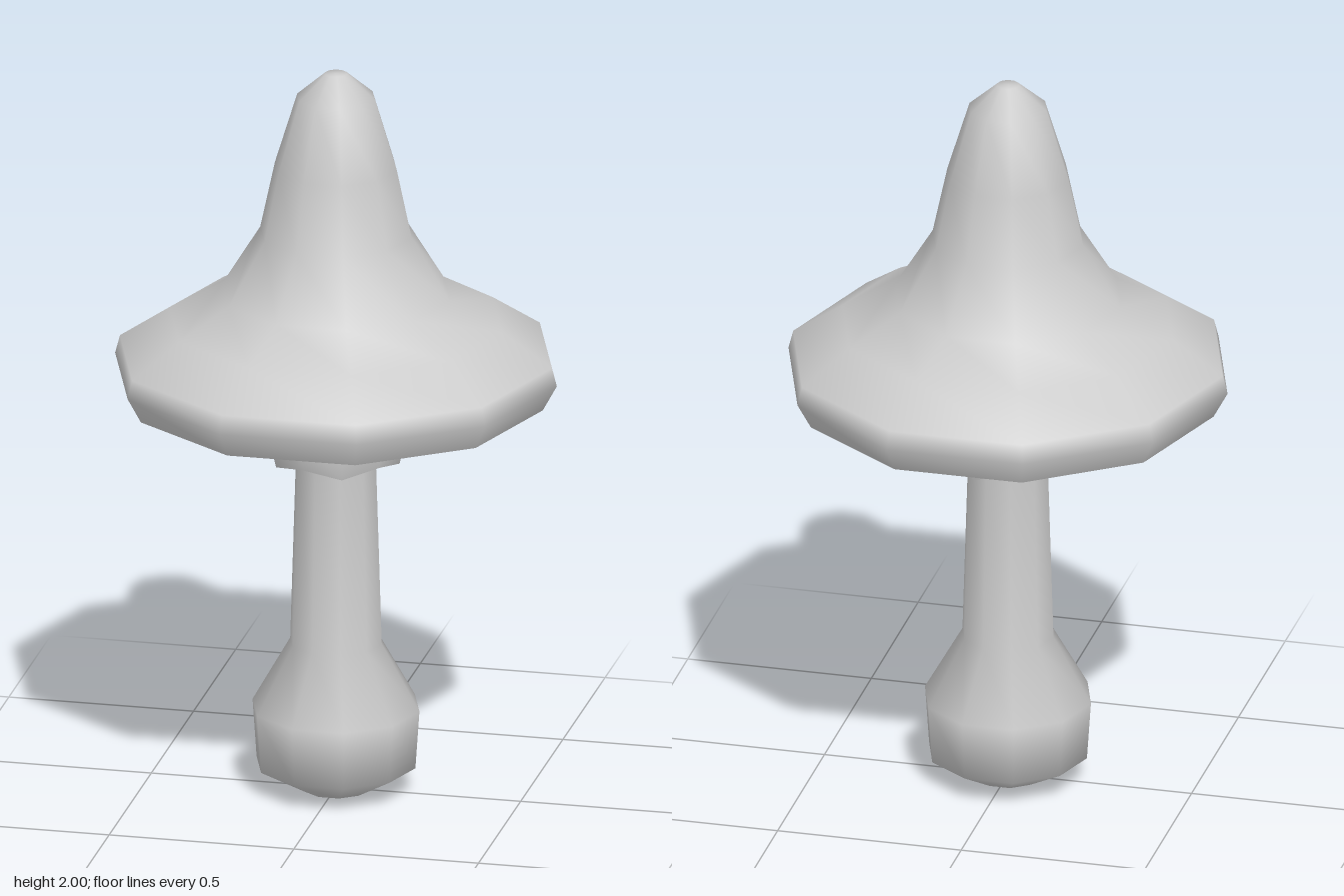
import * as THREE from 'three';

const SIDES = 10;
const material = new THREE.MeshStandardMaterial({ color: 0xcccccc });
const thinMaterial = new THREE.MeshStandardMaterial({ color: 0xcccccc, side: THREE.DoubleSide });

// Ten-sided turned part; profile is [radius, height] from bottom to top, corners on the x axis
function turned(name, profile, mat = material) {
  const points = profile.map(([r, y]) => new THREE.Vector2(r, y));
  const mesh = new THREE.Mesh(new THREE.LatheGeometry(points, SIDES, Math.PI / 2), mat);
  mesh.name = name;
  return mesh;
}

export function createModel() {
  const group = new THREE.Group();
  group.name = 'mushroom';

  // Stem with a bulbous foot
  group.add(turned('stem', [
    [0.09, 0], [0.215, 0.07], [0.226, 0.23], [0.124, 0.41], [0.108, 0.93], [0.1, 1.14],
  ]));
  group.add(turned('stemBase', [[0, 0], [0.09, 0]]));

  // Pointed cap, flaring into a wide brim
  group.add(turned('cap', [
    [0.56, 1.1], [0.598, 1.17], [0.585, 1.22], [0.45, 1.31], [0.308, 1.388],
    [0.205, 1.555], [0.165, 1.74], [0.105, 1.935], [0.03, 2.0], [0, 2.0],
  ]));

  // Underside: flat lip, then a shallow recess
  group.add(turned('capLip', [[0.49, 1.105], [0.56, 1.1]]));
  group.add(turned('capUnderside', [[0, 1.135], [0.46, 1.13], [0.49, 1.105]]));

  // Skirt around the stem, with a ragged hem
  const skirt = turned('skirt', [[0.172, 0.92], [0.202, 1.04], [0.15, 1.11], [0.14, 1.135]], thinMaterial);
  const pos = skirt.geometry.attributes.position;
  for (let i = 0; i < pos.count; i++) {
    const column = Math.floor(i / 4);
    if (i % 4 === 0 && column % 2 === 1) pos.setY(i, 0.94);
  }
  group.add(skirt);

  return group;
}
